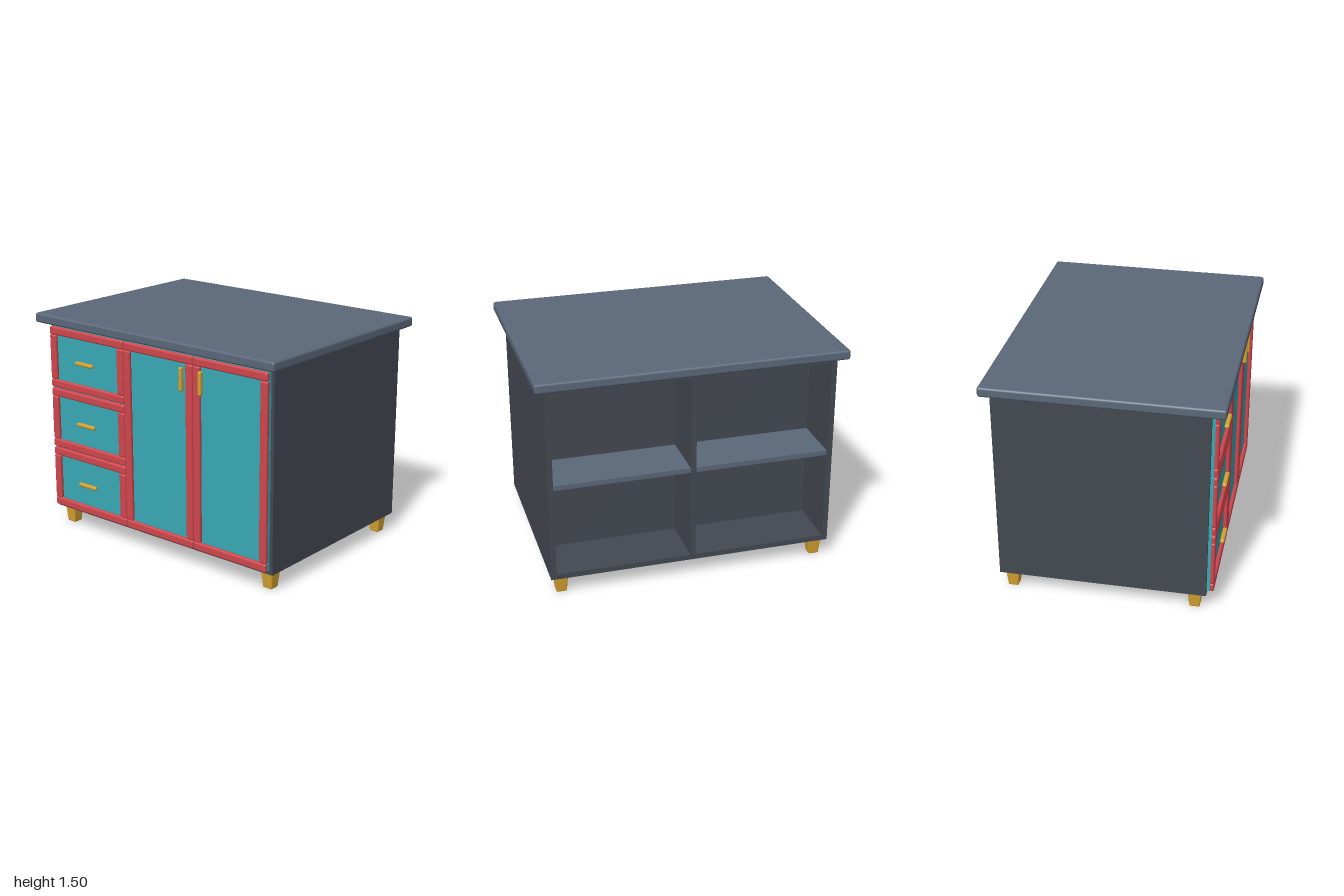
import * as THREE from 'three';
import { RoundedBoxGeometry } from 'three/addons/geometries/RoundedBoxGeometry.js';

const material = (name, color) => {
  const m = new THREE.MeshStandardMaterial({ color });
  m.name = name;
  return m;
};

export function createModel() {
  const model = new THREE.Group();
  model.name = 'kitchenIsland';

  const slate = material('slate blue', 0x5b687a);
  const charcoal = material('charcoal', 0x444851);
  const teal = material('teal', 0x38a9b5);
  const red = material('red', 0xd0464d);
  const brass = material('brass', 0xd4a22f);

  // Box given by its minimum and maximum corners; a radius rounds its edges
  const box = (parent, name, mat, x0, x1, y0, y1, z0, z1, radius = 0) => {
    const size = [x1 - x0, y1 - y0, z1 - z0];
    const geometry = radius
      ? new RoundedBoxGeometry(...size, 3, radius)
      : new THREE.BoxGeometry(...size);
    const mesh = new THREE.Mesh(geometry, mat);
    mesh.name = name;
    mesh.position.set((x0 + x1) / 2, (y0 + y1) / 2, (z0 + z1) / 2);
    parent.add(mesh);
    return mesh;
  };

  // Countertop
  box(model, 'countertop', slate, -1, 1, 1.436, 1.5, -0.75, 0.75, 0.015);

  // Cabinet: closed front block, with a shell around the open back
  const cabinet = new THREE.Group();
  cabinet.name = 'cabinet';
  model.add(cabinet);
  const back = -0.69, recess = -0.33, wall = 0.035;
  const side = 0.938, bottom = 0.122, top = 1.437;
  box(cabinet, 'frontBlock', charcoal, -side, side, bottom, top, recess, 0.657);
  for (const s of [-1, 1]) {
    const inner = s * (side - wall), outer = s * side;
    box(cabinet, 'sideWall', charcoal, Math.min(inner, outer), Math.max(inner, outer), bottom, top, back, recess);
  }
  const inside = side - wall;
  box(cabinet, 'floor', charcoal, -inside, inside, bottom, bottom + wall, back, recess);
  box(cabinet, 'ceiling', charcoal, -inside, inside, top - wall, top, back, recess);
  box(cabinet, 'divider', charcoal, -wall / 2, wall / 2, bottom + wall, top - wall, back, recess);
  box(cabinet, 'leftShelf', slate, wall / 2, inside, 0.755, 0.787, back + 0.005, recess);
  box(cabinet, 'rightShelf', slate, -inside, -wall / 2, 0.755, 0.787, back + 0.005, recess);

  // Framed front: panel, full-width rails, stiles between them, and a pull
  const framedFront = (name, x0, x1, y0, y1, pullX, pullY, vertical) => {
    const front = new THREE.Group();
    front.name = name;
    const f = 0.055, z0 = 0.674, z1 = 0.703, r = 0.012;
    box(front, 'panel', teal, x0 + 0.003, x1 - 0.003, y0 + 0.002, y1 - 0.002, 0.655, 0.678);
    box(front, 'topRail', red, x0, x1, y1 - f, y1, z0, z1, r);
    box(front, 'bottomRail', red, x0, x1, y0, y0 + f, z0, z1, r);
    box(front, 'rightStile', red, x0, x0 + f, y0 + f, y1 - f, z0, z1, r);
    box(front, 'leftStile', red, x1 - f, x1, y0 + f, y1 - f, z0, z1, r);
    const hx = vertical ? 0.0125 : 0.079;
    const hy = vertical ? 0.077 : 0.0125;
    // Drawer pulls reach the panel, door pulls sit on the stile
    box(front, 'pull', brass, pullX - hx, pullX + hx, pullY - hy, pullY + hy, 0.7, 0.729, 0.01);
    model.add(front);
  };
  const drawers = [[0.147, 0.567, 0.356], [0.573, 0.988, 0.781], [0.995, 1.413, 1.203]];
  for (const [y0, y1, pullY] of drawers) {
    framedFront('drawer', -0.918, -0.25, y0, y1, -0.584, pullY, false);
  }
  framedFront('rightDoor', -0.246, 0.334, 0.147, 1.413, 0.259, 1.26, true);
  framedFront('leftDoor', 0.339, 0.918, 0.147, 1.413, 0.414, 1.26, true);

  // Tapered feet, narrower at the floor
  const legHeight = 0.124;
  const legGeometry = new RoundedBoxGeometry(0.09, legHeight, 0.09, 1, 0.008);
  const p = legGeometry.attributes.position;
  for (let i = 0; i < p.count; i++) {
    const t = p.getY(i) / legHeight + 0.5;
    const k = 0.74 + 0.26 * t;
    p.setX(i, p.getX(i) * k);
    p.setZ(i, p.getZ(i) * k);
  }
  legGeometry.computeVertexNormals();
  for (const x of [-0.866, 0.866]) {
    for (const z of [0.58, -0.616]) {
      const leg = new THREE.Mesh(legGeometry, brass);
      leg.name = z > 0 ? 'frontLeg' : 'backLeg';
      leg.position.set(x, legHeight / 2, z);
      model.add(leg);
    }
  }

  return model;
}
